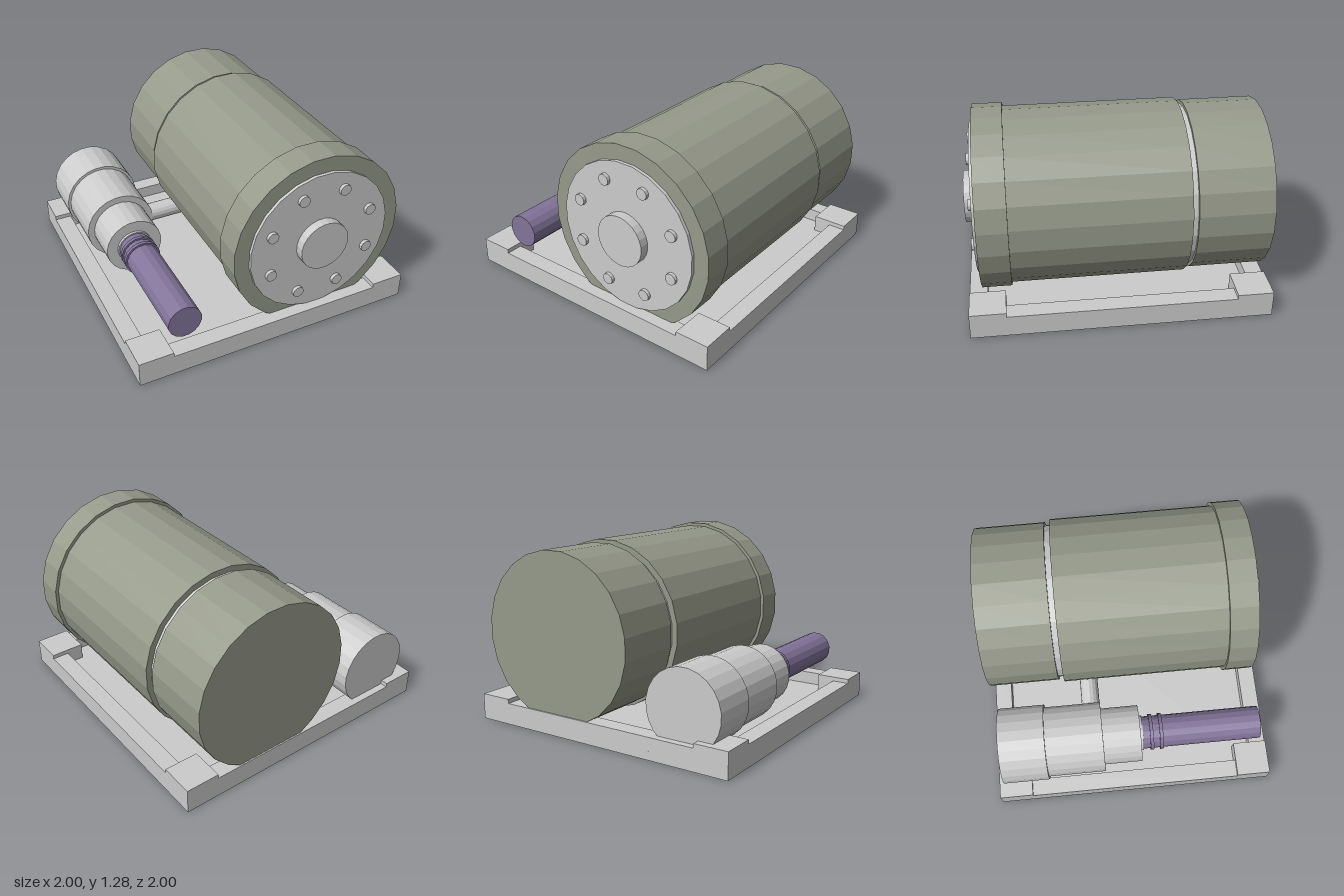
import * as THREE from 'three';

const mat = (color) => new THREE.MeshStandardMaterial({ color, flatShading: true });

export function createModel() {
  const model = new THREE.Group();
  const grey = mat(0xcccccc), green = mat(0x969a8a), purple = mat(0x82749a);

  const add = (parent, name, geometry, material) => {
    const mesh = new THREE.Mesh(geometry, material);
    mesh.name = name;
    parent.add(mesh);
    return mesh;
  };
  const group = (name, x, y) => {
    const g = new THREE.Group();
    g.name = name;
    g.position.set(x, y, 0);
    model.add(g);
    return g;
  };
  // Box given by its x, y and z ranges
  const box = (parent, name, x0, x1, y0, y1, z0, z1) =>
    add(parent, name, new THREE.BoxGeometry(x1 - x0, y1 - y0, z1 - z0), grey)
      .position.set((x0 + x1) / 2, (y0 + y1) / 2, (z0 + z1) / 2);
  // Cylinder along z with flats on top and sides; r is measured to the flats
  const drum = (parent, name, r, z0, z1, material, sides = 24, x = 0, y = 0) => {
    const geo = new THREE.CylinderGeometry(1, 1, z1 - z0, sides);
    geo.rotateY(Math.PI / sides).rotateX(Math.PI / 2);
    const R = r / Math.cos(Math.PI / sides);
    geo.scale(R, R, 1);
    add(parent, name, geo, material).position.set(x, y, (z0 + z1) / 2);
  };

  // Tray: recessed floor, low rim and raised corner pads
  const base = group('base', 0, 0);
  box(base, 'floor', -1, 1, 0, 0.06, -1, 1);
  for (const s of [-1, 1]) {
    const a = Math.min(s, s * 0.88), b = Math.max(s, s * 0.88);
    box(base, 'sideRim', a, b, 0.06, 0.15, -0.76, 0.76);
    box(base, 'endRim', -0.76, 0.76, 0.06, 0.15, a, b);
    for (const t of [-1, 1]) {
      box(base, 'cornerPad', Math.min(s, s * 0.76), Math.max(s, s * 0.76), 0.06, 0.18,
        Math.min(t, t * 0.76), Math.max(t, t * 0.76));
    }
  }

  // Large motor drum
  const motor = group('motor', 0.32, 0.665);
  drum(motor, 'rearHousing', 0.575, -0.99, -0.49, green);
  drum(motor, 'neck', 0.553, -0.49, -0.45, grey);
  drum(motor, 'body', 0.593, -0.45, 0.72, green);
  drum(motor, 'frontFlange', 0.616, 0.715, 0.915, green);
  drum(motor, 'facePlate', 0.511, 0.91, 0.937, grey);
  drum(motor, 'hub', 0.175, 0.93, 1, grey);
  for (let i = 0; i < 8; i++) {
    const a = (i + 0.5) * Math.PI / 4;
    drum(motor, 'bolt', 0.038, 0.93, 0.96, grey, 12, 0.395 * Math.cos(a), 0.395 * Math.sin(a));
  }

  // Stepped side pump with its shaft
  const pump = group('pump', -0.65, 0.345);
  drum(pump, 'rearCap', 0.27, -0.95, -0.62, grey);
  drum(pump, 'middleCasing', 0.25, -0.62, -0.21, grey);
  drum(pump, 'frontCasing', 0.203, -0.21, 0.06, grey);
  drum(pump, 'collar', 0.125, 0.06, 0.08, grey);
  drum(pump, 'shaft', 0.115, 0.08, 0.935, purple, 16);
  for (const z of [0.13, 0.2]) drum(pump, 'shaftRing', 0.128, z, z + 0.025, purple, 16);

  // Pipe joining pump and motor
  const pipe = new THREE.CylinderGeometry(0.066, 0.066, 0.5, 16).rotateZ(Math.PI / 2);
  add(model, 'connectingPipe', pipe, grey).position.set(-0.3, 0.345, -0.278);

  return model;
}
